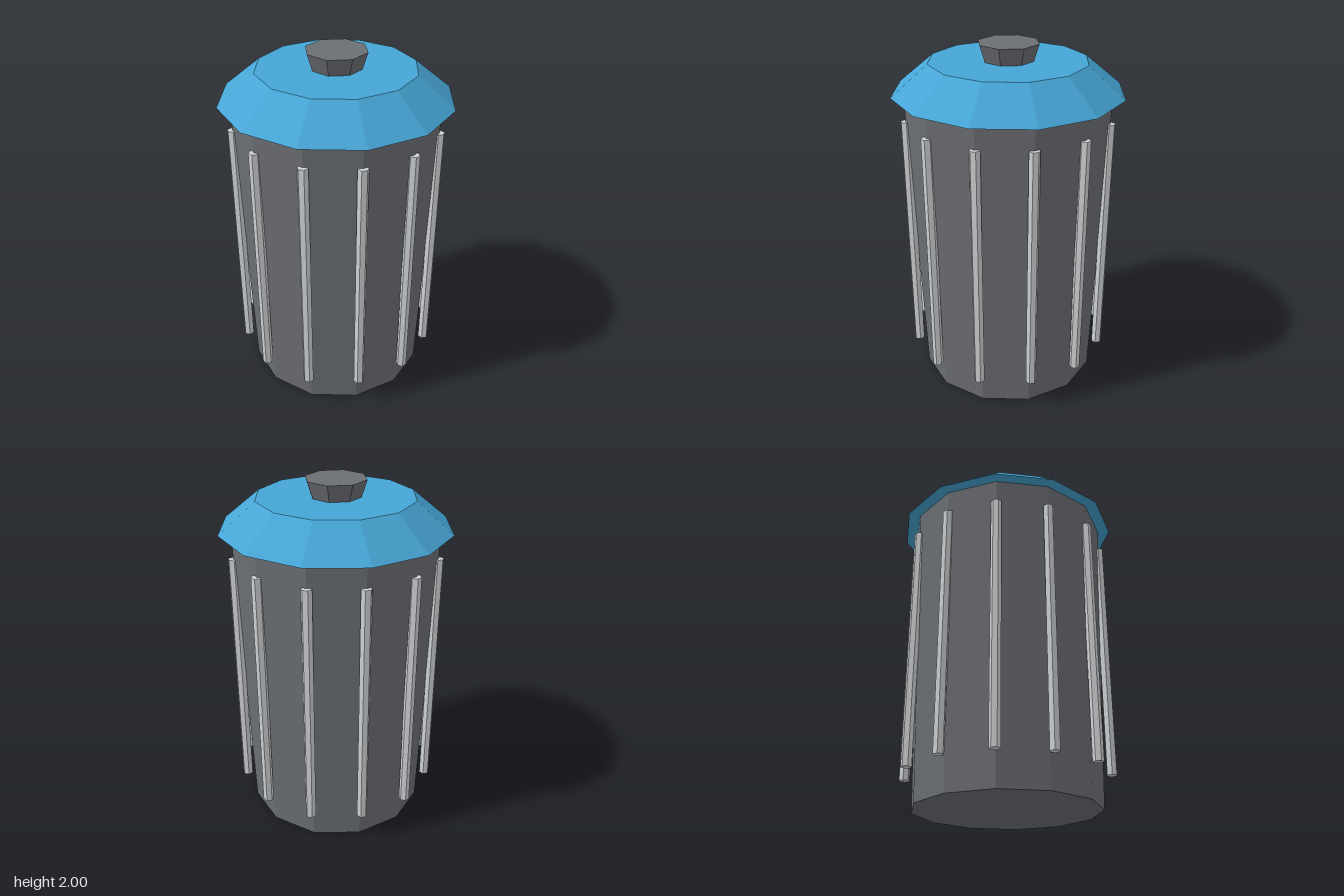
import * as THREE from 'three';

const material = (name, color) => {
  const m = new THREE.MeshStandardMaterial({ color, flatShading: true });
  m.name = name;
  return m;
};

export function createModel() {
  const bin = new THREE.Group();
  bin.name = 'trashCan';

  const darkGrey = material('dark grey metal', 0x6b6e73);
  const lightGrey = material('light grey metal', 0xcfd2d5);
  const blue = material('blue lid', 0x46a5d5);

  // Faceted, tapered drum standing between two heights
  const drum = (name, mat, rTop, rBottom, y0, y1, sides, parent = bin) => {
    const mesh = new THREE.Mesh(new THREE.CylinderGeometry(rTop, rBottom, y1 - y0, sides), mat);
    mesh.name = name;
    mesh.position.y = (y0 + y1) / 2;
    parent.add(mesh);
    return mesh;
  };

  drum('body', darkGrey, 0.575, 0.52, 0, 1.74, 12);
  drum('lid', blue, 0.44, 0.645, 1.735, 1.905, 12);
  drum('lidKnob', darkGrey, 0.172, 0.14, 1.9, 2, 8);

  // Upright hexagonal ribs, one on each corner of the body
  const ribs = new THREE.Group();
  ribs.name = 'ribs';
  bin.add(ribs);
  for (let i = 0; i < 12; i++) {
    const a = (i / 12) * Math.PI * 2;
    const rib = drum('rib', lightGrey, 0.03, 0.03, 0.18, 1.6, 6, ribs);
    rib.position.x = Math.sin(a) * 0.57;
    rib.position.z = Math.cos(a) * 0.57;
    rib.rotation.y = a + Math.PI / 6; // flat side faces outward
  }

  return bin;
}
